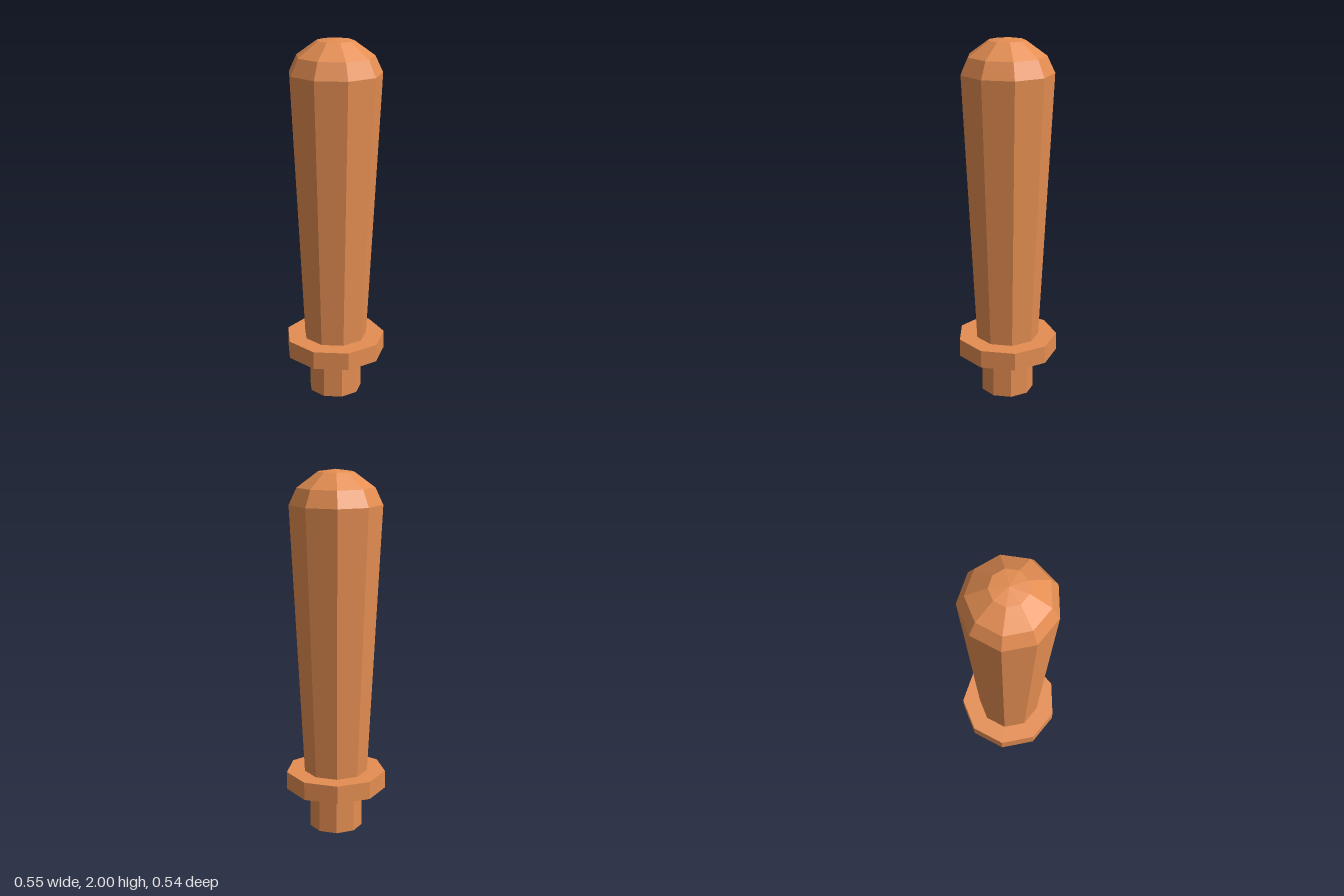
import * as THREE from 'three';

const SIDES = 9;

export function createModel() {
  const model = new THREE.Group();
  model.name = 'handle';
  const wood = new THREE.MeshStandardMaterial({ color: 0xe58e52, flatShading: true });

  // Nine-sided turned part from [radius, height] pairs, bottom to top, one corner facing the back
  function turned(name, profile) {
    const points = profile.map(([r, y]) => new THREE.Vector2(r, y));
    const mesh = new THREE.Mesh(new THREE.LatheGeometry(points, SIDES, Math.PI), wood);
    mesh.name = name;
    mesh.position.z = 0.008; // centres the odd-sided outline
    model.add(mesh);
  }

  // Narrow peg at the foot
  turned('peg', [[0, 0], [0.148, 0], [0.148, 0.23], [0, 0.23]]);

  // Wide flat collar
  turned('collar', [[0, 0.23], [0.279, 0.23], [0.279, 0.33], [0, 0.33]]);

  // Grip widening upwards into a faceted dome
  turned('grip', [[0, 0.33], [0.177, 0.33], [0.253, 1.815], [0.211, 1.905], [0.099, 1.986], [0, 2]]);

  return model;
}
